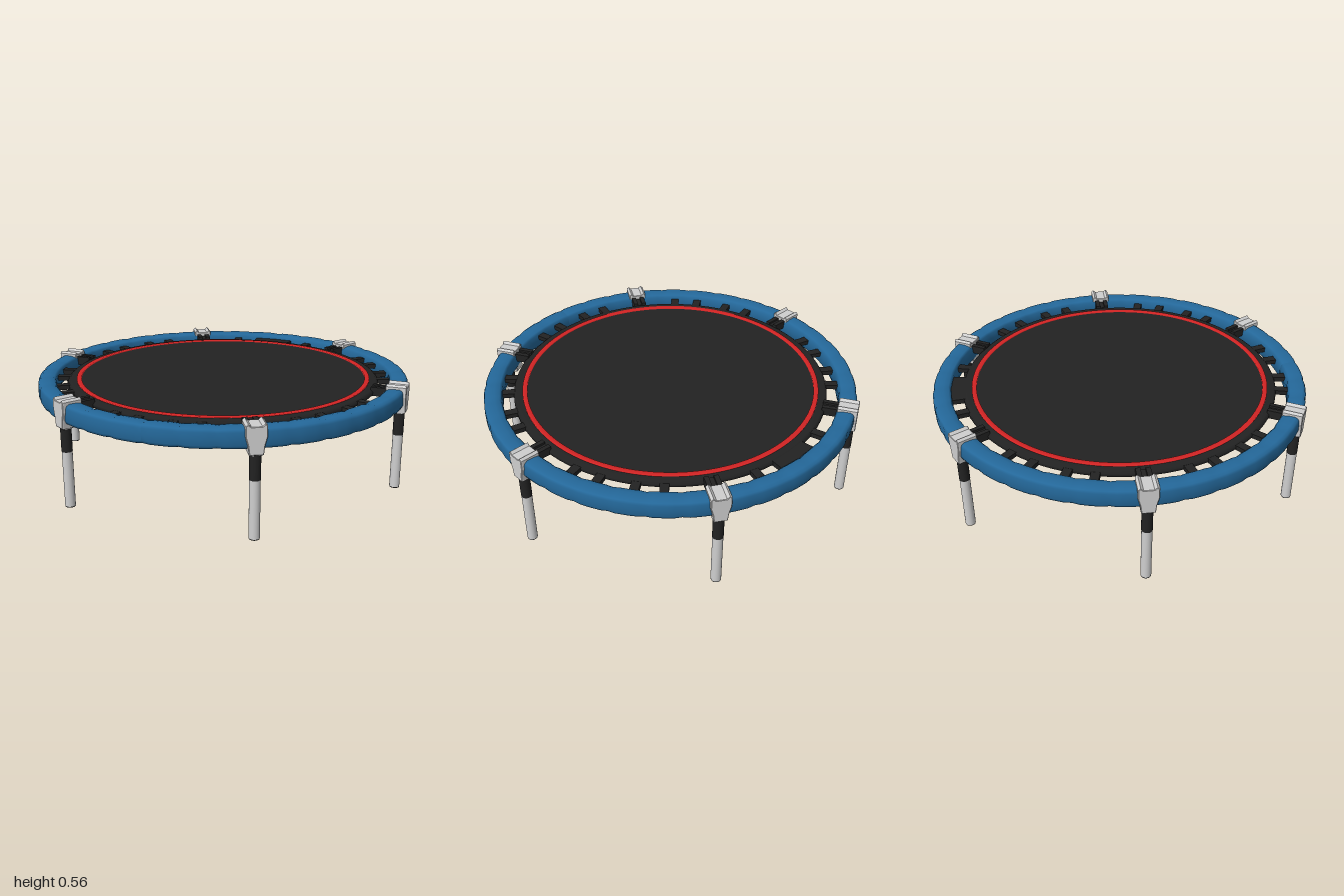
import * as THREE from 'three';

const mat = (name, color, side = THREE.FrontSide) => {
  const m = new THREE.MeshStandardMaterial({ color, side });
  m.name = name;
  return m;
};

export function createModel() {
  const blue = mat('padding blue', 0x24689a);
  const black = mat('fabric black', 0x222222);
  const grey = mat('metal light grey', 0xcfcfcf);
  const red = mat('trim red', 0xd42424);
  const model = new THREE.Group();
  model.name = 'trampoline';

  const add = (parent, name, geometry, material, x = 0, y = 0, z = 0) => {
    const mesh = new THREE.Mesh(geometry, material);
    mesh.name = name;
    mesh.position.set(x, y, z);
    parent.add(mesh);
    return mesh;
  };
  // group whose local x axis points outwards at the given angle
  const spoke = (name, degrees) => {
    const g = new THREE.Group();
    g.name = name;
    g.rotation.y = THREE.MathUtils.degToRad(degrees);
    model.add(g);
    return g;
  };
  const lathe = (pts, n) => new THREE.LatheGeometry(pts.map(p => new THREE.Vector2(...p)), n);

  // padded rim: rounded cross-section, pinched slightly at each seam
  const section = [
    [0.905, 0.436], [0.965, 0.436], [0.98, 0.442], [0.987, 0.457], [0.988, 0.488],
    [0.987, 0.518], [0.981, 0.531], [0.967, 0.539], [0.93, 0.538], [0.905, 0.533],
    [0.894, 0.523], [0.89, 0.49], [0.893, 0.45], [0.905, 0.436],
  ];
  const rim = lathe(section, 180);
  const p = rim.attributes.position;
  for (let i = 0; i < p.count; i++) {
    const step = Math.floor(i / section.length) % 5;
    const pinch = step === 0 ? 0.93 : 1;
    const x = p.getX(i), z = p.getZ(i), r = Math.hypot(x, z);
    const k = (0.94 + (r - 0.94) * pinch) / r;
    p.setXYZ(i, x * k, 0.488 + (p.getY(i) - 0.488) * pinch, z * k);
  }
  rim.computeVertexNormals();
  add(model, 'paddedRim', rim, blue);

  // jumping mat with its raised skirt
  add(model, 'jumpingMat', new THREE.CylinderGeometry(0.79, 0.79, 0.035, 96), black, 0, 0.5, 0);
  add(model, 'matSkirt', lathe([
    [0.77, 0.485], [0.82, 0.485], [0.832, 0.495], [0.832, 0.51], [0.82, 0.519], [0.77, 0.519],
  ], 96), black);

  // red trim on both faces of the mat
  add(model, 'redTrimTop', lathe([
    [0.787, 0.516], [0.787, 0.524], [0.762, 0.524], [0.762, 0.516],
  ], 96), red);
  add(model, 'redTrimBottom', lathe([
    [0.768, 0.484], [0.768, 0.48], [0.778, 0.48], [0.778, 0.484],
  ], 96), red);

  // clamp outline seen from outside, with ears and a dip at the top
  const outline = [
    [-0.03, 0.418], [0.03, 0.418], [0.035, 0.46], [0.046, 0.5], [0.046, 0.548], [0.038, 0.555],
    [0.026, 0.544], [-0.026, 0.544], [-0.038, 0.555], [-0.046, 0.548], [-0.046, 0.5], [-0.035, 0.46],
  ];
  const clampGeo = new THREE.ExtrudeGeometry(
    new THREE.Shape(outline.map(q => new THREE.Vector2(...q))),
    { depth: 0.088, bevelEnabled: true, bevelSize: 0.004, bevelThickness: 0.008, bevelSegments: 2 });
  clampGeo.rotateY(Math.PI / 2);
  const tabGeo = new THREE.BoxGeometry(0.1, 0.024, 0.044);

  for (let i = 0; i < 6; i++) {
    // leg with sleeve, foot and rim clamp
    const leg = spoke('leg' + (i + 1), i * 60);
    add(leg, 'legTube', new THREE.CylinderGeometry(0.026, 0.026, 0.285, 24), grey, 0.965, 0.1475, 0);
    add(leg, 'legFoot', new THREE.CylinderGeometry(0.025, 0.025, 0.005, 24), black, 0.965, 0.0025, 0);
    add(leg, 'legSleeve', new THREE.CylinderGeometry(0.027, 0.027, 0.14, 24), black, 0.965, 0.36, 0);
    add(leg, 'rimClamp', clampGeo, grey, 0.904, 0, 0);
    add(leg, 'clampLip', new THREE.BoxGeometry(0.05, 0.03, 0.054), grey, 0.965, 0.424, 0);

    // forked bracket joining the mat to the clamp
    for (const side of [-1, 1])
      add(leg, 'bracketProng', new THREE.BoxGeometry(0.1, 0.045, 0.024), black, 0.868, 0.512, side * 0.024);
    add(leg, 'bracketCore', new THREE.BoxGeometry(0.1, 0.03, 0.03), black, 0.868, 0.508, 0);

    // fabric tabs between neighbouring legs
    for (const offset of [-15, -6, 6, 15])
      add(spoke('tabSpoke', i * 60 + 30 + offset), 'fabricTab', tabGeo, black, 0.86, 0.502, 0);
  }

  // wide fabric panel closing the gap at the back
  const a = THREE.MathUtils.degToRad(7.5);
  const panel = new THREE.Shape();
  panel.absarc(0, 0, 0.91, Math.PI / 2 - a, Math.PI / 2 + a, false);
  panel.absarc(0, 0, 0.81, Math.PI / 2 + a, Math.PI / 2 - a, true);
  const panelGeo = new THREE.ExtrudeGeometry(panel, { depth: 0.024, bevelEnabled: false, curveSegments: 12 });
  panelGeo.rotateX(-Math.PI / 2);
  add(model, 'backPanel', panelGeo, black, 0, 0.492, 0);

  return model;
}
